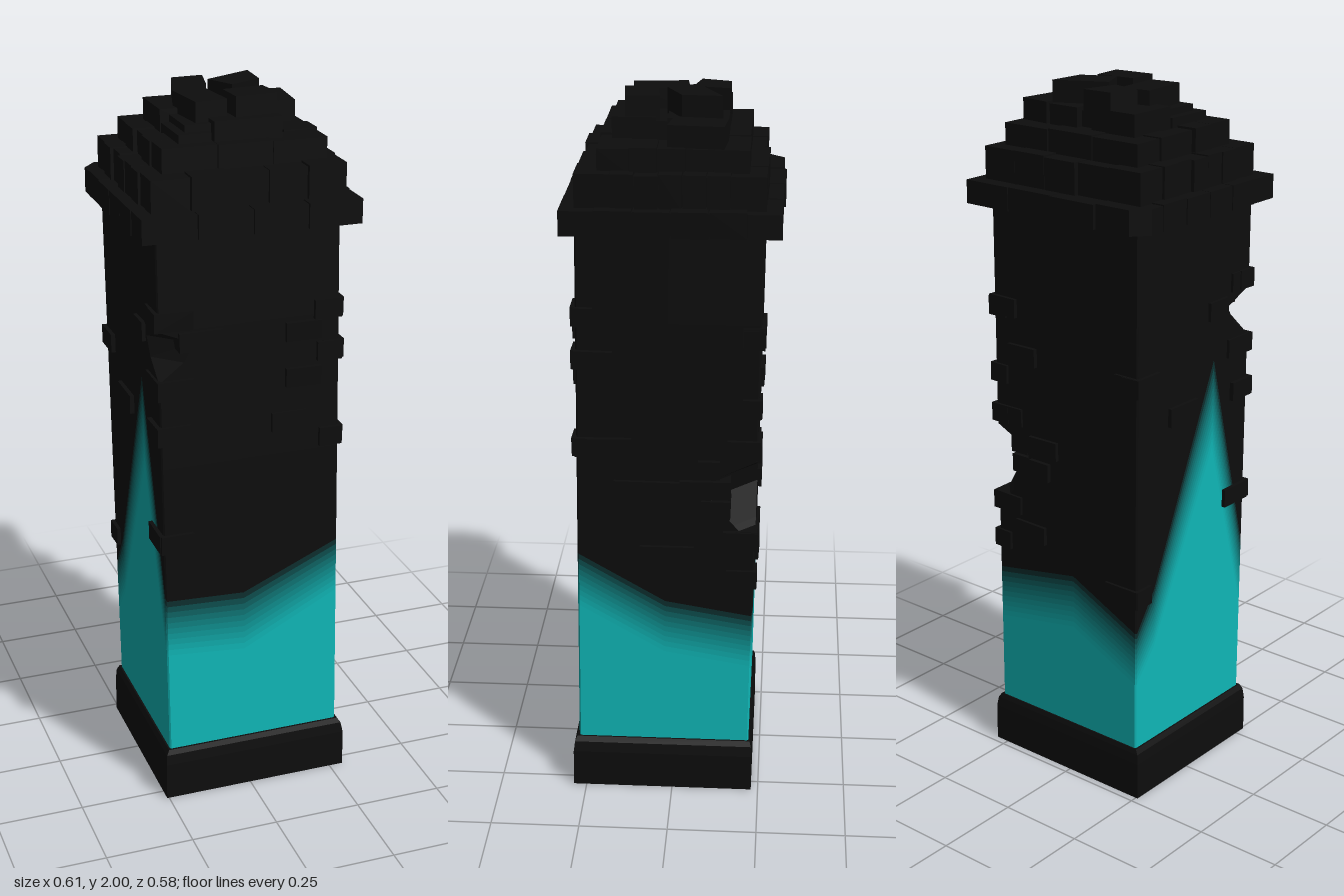
import * as THREE from 'three';

const BLACK = new THREE.Color(0x0d0d0d), TEAL = new THREE.Color(0x10b8b8);
const material = (color) => new THREE.MeshStandardMaterial({ color, flatShading: true, side: THREE.DoubleSide });
const black = material(BLACK);
const lerp = THREE.MathUtils.lerp;

let seed = 7;
const rand = () => (seed = (seed * 16807) % 2147483647) / 2147483647;
const jitter = (a) => (rand() - 0.5) * 2 * a;

function add(parent, name, geometry, mat = black) {
  const mesh = new THREE.Mesh(geometry, mat);
  mesh.name = name;
  parent.add(mesh);
  return mesh;
}

// Skin of quads between closed rings of points, listed from bottom to top
function loft(rings) {
  const n = rings[0].length, index = [];
  for (let r = 0; r < rings.length - 1; r++)
    for (let j = 0; j < n; j++) {
      const a = r * n + j, b = r * n + ((j + 1) % n);
      index.push(a, b, b + n, a, b + n, a + n);
    }
  const g = new THREE.BufferGeometry();
  g.setAttribute('position', new THREE.Float32BufferAttribute(rings.flat(2), 3));
  g.setIndex(index);
  g.computeVertexNormals();
  return g;
}

// Flat stone with a polygon plan given as [x, z] corners
function stone(parent, name, plan, y0, y1) {
  const shape = new THREE.Shape(plan.map(([x, z]) => new THREE.Vector2(x, -z)));
  const g = new THREE.ExtrudeGeometry(shape, { depth: y1 - y0, bevelEnabled: false });
  g.rotateX(-Math.PI / 2);
  g.translate(0, y0, 0);
  return add(parent, name, g);
}
const rect = (x0, x1, z0, z1) => [[x0, z0], [x1, z0], [x1, z1], [x0, z1]];

// Slightly leaning shaft outline at height y
function bounds(y) {
  const k = (y - 0.15) / 1.52;
  return { x0: lerp(-0.24, -0.26, k), x1: lerp(0.27, 0.25, k), z0: lerp(-0.22, -0.24, k), z1: lerp(0.27, 0.255, k) };
}

// Broken corners: [height, size of the cut]
const EDGE = 0.004;
const notches = {
  frontRight: [[1.28, EDGE], [1.33, 0.07], [1.38, 0.1], [1.42, EDGE]],
  backLeft: [[0.78, EDGE], [0.84, 0.06], [0.92, 0.13], [0.98, 0.11], [1.03, EDGE]],
};
function cut(name, y) {
  const p = notches[name] || [];
  for (let i = 0; i < p.length - 1; i++)
    if (y >= p[i][0] && y <= p[i + 1][0])
      return lerp(p[i][1], p[i + 1][1], (y - p[i][0]) / (p[i + 1][0] - p[i][0]));
  return EDGE;
}

// Perimeter columns: [face, fraction along face, top of teal, length of fade]
const columns = [
  ['front', 0, 0.46, 0.17], ['front', 0.45, 0.44, 0.18], ['front', 1, 0.58, 0.16],
  ['left', 0, 0.58, 0.16], ['left', 0.5, 0.44, 0.16], ['left', 1, 0.4, 0.16],
  ['back', 0, 0.42, 0.16], ['back', 0.55, 0.47, 0.16], ['back', 1, 0.36, 0.16],
  ['right', 0, 0.36, 0.16], ['right', 0.16, 0.45, 0.18], ['right', 0.68, 0.98, 0.26], ['right', 1, 0.44, 0.2],
];
function columnPoint([face, f], y) {
  const { x0, x1, z0, z1 } = bounds(y);
  const along = (a, b, c0, c1) => {
    const s = Math.sign(b - a);
    return f === 0 ? a + s * cut(c0, y) : f === 1 ? b - s * cut(c1, y) : lerp(a, b, f);
  };
  if (face === 'front') return [along(x0, x1, 'frontRight', 'frontLeft'), y, z1];
  if (face === 'left') return [x1, y, along(z1, z0, 'frontLeft', 'backLeft')];
  if (face === 'back') return [along(x1, x0, 'backLeft', 'backRight'), y, z0];
  return [x0, y, along(z0, z1, 'backRight', 'frontRight')];
}
const ring = (heightOf) => columns.map((c) => columnPoint(c, heightOf(c)));

function buildShaft(root) {
  const shaft = new THREE.Group();
  shaft.name = 'shaft';
  root.add(shaft);
  add(shaft, 'tealWall', loft([ring(() => 0.004), ring(() => 0.15), ring((c) => c[2])]), material(TEAL));
  // Thin bands fading from teal to black
  const steps = 10;
  for (let i = 0; i < steps; i++) {
    const at = (k) => ring((c) => c[2] + (c[3] * k) / steps);
    add(shaft, 'fadeBand', loft([at(i), at(i + 1)]), material(TEAL.clone().lerp(BLACK, (i + 0.5) / steps)));
  }
  const heights = [0, ...notches.backLeft.map((p) => p[0]), ...notches.frontRight.map((p) => p[0]), 1.68];
  add(shaft, 'blackWall', loft(heights.map((h) => ring((c) => Math.max(h, c[2] + c[3])))));
}

// Hollow foot with softened top edges
function buildPlinth(root) {
  const frame = (x0, x1, z0, z1, y) => [[x0, y, z1], [x1, y, z1], [x1, y, z0], [x0, y, z0]];
  add(root, 'plinth', loft([
    frame(-0.243, 0.273, -0.222, 0.272, 0),
    frame(-0.256, 0.291, -0.23, 0.287, 0),
    frame(-0.256, 0.29, -0.23, 0.286, 0.11),
    frame(-0.253, 0.284, -0.228, 0.282, 0.14),
    frame(-0.245, 0.275, -0.224, 0.276, 0.154),
    frame(-0.235, 0.265, -0.215, 0.265, 0.154),
  ]));
}

// Bricks standing proud of the shaft: [start, end, bottom height] along x or z
const wallBricks = {
  front: [[-0.268, -0.16, 1.42], [-0.2, -0.08, 1.36], [-0.262, -0.16, 1.23], [-0.264, -0.17, 1.1], [-0.258, -0.165, 0.78],
    [0.1, 0.2, 1.355], [0.18, 0.258, 1.41], [0.1, 0.2, 1.225], [0.19, 0.26, 1.29], [0.06, 0.16, 1.1], [0.2, 0.265, 1.04]],
  left: [[0.21, 0.262, 1.41], [0.16, 0.263, 1.29], [0.11, 0.265, 1.04], [-0.02, 0.16, 0.915], [-0.06, 0.09, 0.72],
    [-0.16, -0.02, 0.92], [-0.247, -0.19, 1.355], [-0.13, -0.07, 0.98], [-0.24, -0.15, 1.04], [-0.242, -0.19, 1.16],
    [-0.16, -0.08, 0.86], [-0.235, -0.14, 0.77], [-0.235, -0.15, 0.65]],
  back: [[0.17, 0.262, 1.36], [0.1, 0.2, 1.23], [0.16, 0.264, 1.04], [0.03, 0.13, 0.97], [0.06, 0.13, 0.9],
    [0.17, 0.27, 0.77], [0.08, 0.19, 0.7], [-0.26, -0.18, 1.22], [-0.255, -0.14, 0.6]],
  right: [[0.17, 0.263, 1.42], [0.07, 0.15, 1.36], [0.16, 0.263, 1.23], [0.18, 0.265, 1.1], [0.16, 0.267, 0.78],
    [-0.245, -0.15, 1.22], [-0.1, 0.02, 1.1], [-0.235, -0.17, 0.6]],
};
function buildWallBricks(root) {
  const group = new THREE.Group();
  group.name = 'wallBricks';
  root.add(group);
  const h = 0.053, d = 0.06;
  for (const [face, list] of Object.entries(wallBricks))
    for (const [u0, u1, y] of list) {
      const b = bounds(y), alongX = face === 'front' || face === 'back', out = 0.007 + rand() * 0.006;
      const wall = { front: b.z1 + out - d / 2, back: b.z0 - out + d / 2, left: b.x1 + out - d / 2, right: b.x0 - out + d / 2 }[face];
      const brick = add(group, 'wallBrick', new THREE.BoxGeometry(alongX ? u1 - u0 : d, h, alongX ? d : u1 - u0));
      const mid = (u0 + u1) / 2;
      brick.position.set(alongX ? mid : wall, y + h / 2, alongX ? wall : mid);
      brick.rotation.set(jitter(0.02), jitter(0.02), jitter(0.02));
    }
}

// One stepped course: solid core ringed with bricks
function course(parent, [x0, x1, z0, z1], y0, y1, n, rough, chipped) {
  const w = 0.09, gap = 0.0015;
  stone(parent, 'courseCore', rect(x0 + 0.012, x1 - 0.012, z0 + (chipped ? 0.05 : 0.012), z1 - 0.012), y0 + 0.003, y1 - 0.006);
  for (let i = 0; i < n; i++) {
    const a = lerp(x0, x1, i / n) + gap, b = lerp(x0, x1, (i + 1) / n) - gap;
    const c = lerp(z0 + w, z1 - w, i / n) + gap, e = lerp(z0 + w, z1 - w, (i + 1) / n) - gap;
    const j = () => jitter(rough), top = () => y1 + jitter(0.003);
    stone(parent, 'courseBrick', rect(a, b, z1 - w, z1 + j()), y0, top());
    if (chipped && i === 0)
      stone(parent, 'chippedCornerBrick', [[a + 0.038, z0], [b, z0], [b, z0 + w], [a, z0 + w], [a, z0 + 0.045]], y0, y1);
    else stone(parent, 'courseBrick', rect(a, b, z0 + j() - (chipped && i === 1 ? 0.006 : 0), z0 + w), y0, top());
    stone(parent, 'courseBrick', rect(x0 + j(), x0 + w, c, e), y0, top());
    stone(parent, 'courseBrick', rect(x1 - w, x1 + j() + (chipped && i === 1 ? 0.006 : 0), c, e), y0, top());
  }
}

function buildCap(root) {
  const cap = new THREE.Group();
  cap.name = 'steppedCap';
  root.add(cap);
  course(cap, [-0.306, 0.3, -0.286, 0.29], 1.67, 1.738, 4, 0.001, true);
  course(cap, [-0.268, 0.268, -0.242, 0.25], 1.735, 1.825, 5, 0.006);
  course(cap, [-0.222, 0.235, -0.197, 0.202], 1.82, 1.887, 3, 0.007);
  stone(cap, 'rubbleCore', rect(-0.14, 0.12, -0.12, 0.14), 1.88, 1.93);
  // Loose bricks under the summit
  const lower = [
    rect(-0.165, -0.02, -0.14, 0.01), rect(0.03, 0.125, -0.14, 0.02),
    [[0.137, -0.14], [0.227, -0.132], [0.213, 0.015], [0.12, 0.002]],
    rect(-0.165, -0.075, 0.018, 0.165), rect(-0.068, 0.12, 0.05, 0.165),
  ];
  lower.forEach((p, i) => stone(cap, 'looseBrick', p, 1.88, [1.945, 1.94, 1.943, 1.912, 1.94][i]));
  // Tumbled bricks on the summit
  const upper = [
    [[-0.11, -0.06], [-0.085, -0.14], [0.004, -0.143], [-0.02, -0.04]],
    [[-0.01, -0.055], [0.128, -0.125], [0.122, -0.018], [0.03, 0.026]],
    [[-0.12, -0.022], [-0.03, -0.032], [-0.016, 0.114], [-0.105, 0.125]],
    [[-0.005, 0.05], [0.11, 0.04], [0.118, 0.13], [0, 0.14]],
  ];
  upper.forEach((p, i) => stone(cap, 'summitBrick', p, 1.925, [1.992, 2, 1.985, 1.995][i]));
}

export function createModel() {
  const root = new THREE.Group();
  root.name = 'brickChimney';
  buildPlinth(root);
  buildShaft(root);
  buildWallBricks(root);
  buildCap(root);
  return root;
}
